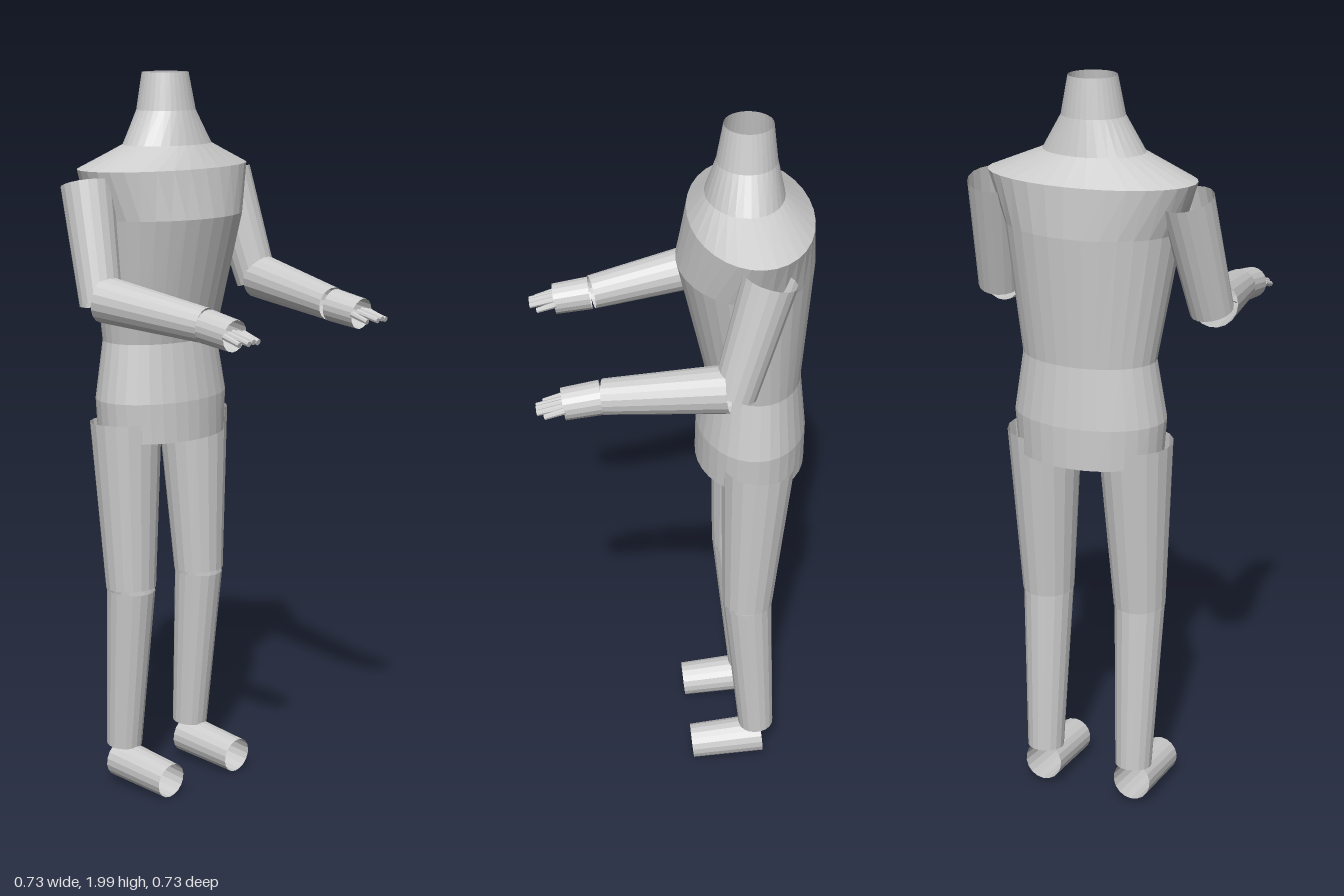
import * as THREE from 'three';

const skin = new THREE.MeshStandardMaterial({ color: 0xcccccc, flatShading: true, side: THREE.DoubleSide });
skin.name = 'plain grey';

// Torso cross-sections from neck rim to closed base: [y, half width, z front, z back]
const TORSO = [
  [2.0, 0.063, -0.127, -0.253],
  [1.9, 0.083, -0.11, -0.265],
  [1.81, 0.137, -0.082, -0.285],
  [1.75, 0.284, -0.038, -0.36],
  [1.62, 0.237, -0.01, -0.366],
  [1.28, 0.183, -0.09, -0.342],
  [1.12, 0.209, -0.066, -0.359],
  [1.01, 0.2, -0.064, -0.359],
  [1.01, 0, -0.21, -0.21],
];

function torsoGeometry() {
  const sides = 32;
  const geo = new THREE.CylinderGeometry(1, 1, 1, sides, TORSO.length - 1, true);
  const pos = geo.attributes.position;
  for (let i = 0; i < pos.count; i++) {
    const [y, hw, zf, zb] = TORSO[Math.floor(i / (sides + 1))];
    pos.setXYZ(i, pos.getX(i) * hw, y, (zf + zb) / 2 + pos.getZ(i) * (zf - zb) / 2);
  }
  geo.computeVertexNormals();
  return geo;
}

// Open tapered tube between two points
function limb(name, a, b, ra, rb, sides = 18, open = true) {
  const start = new THREE.Vector3(...a), end = new THREE.Vector3(...b);
  const axis = start.clone().sub(end);
  const geo = new THREE.CylinderGeometry(ra, rb, axis.length(), sides, 1, open);
  const mesh = new THREE.Mesh(geo, skin);
  mesh.name = name;
  mesh.position.copy(start).add(end).multiplyScalar(0.5);
  mesh.quaternion.setFromUnitVectors(new THREE.Vector3(0, 1, 0), axis.normalize());
  return mesh;
}

function side(s) {
  const g = new THREE.Group();
  g.name = s > 0 ? 'leftLimbs' : 'rightLimbs';
  const p = (x, y, z) => [s * x, y, z];

  // Leg
  g.add(limb('thigh', p(0.132, 1.06, -0.219), p(0.136, 0.59, -0.2), 0.099, 0.07));
  g.add(limb('shin', p(0.136, 0.585, -0.2), p(0.134, 0.12, -0.235), 0.068, 0.05));
  g.add(limb('foot', p(0.135, 0.073, -0.25), p(0.135, 0.055, -0.048), 0.054, 0.049));

  // Arm, bent forward at the elbow
  g.add(limb('upperArm', p(0.268, 1.715, -0.217), p(0.304, 1.41, -0.13), 0.07, 0.057));
  g.add(limb('forearm', p(0.304, 1.424, -0.115), p(0.25, 1.383, 0.195), 0.062, 0.046));
  g.add(limb('palm', p(0.249, 1.381, 0.2), p(0.25, 1.367, 0.297), 0.045, 0.042));

  // Fingers fan across the open end of the palm, thumb on the inner side
  const fingers = [[0.285, 0.346], [0.27, 0.364], [0.254, 0.365], [0.237, 0.364], [0.215, 0.346]];
  fingers.forEach(([x, tip], i) => {
    const y = 1.376 - 0.003 * Math.abs(i - 2);
    g.add(limb(i === 4 ? 'thumb' : 'finger', p(x, y, 0.294), p(x, y - 0.016, tip), 0.009, 0.0075, 8, false));
  });
  return g;
}

export function createModel() {
  const model = new THREE.Group();
  model.name = 'headlessFigure';
  const torso = new THREE.Mesh(torsoGeometry(), skin);
  torso.name = 'torso';
  model.add(torso, side(1), side(-1));
  return model;
}
